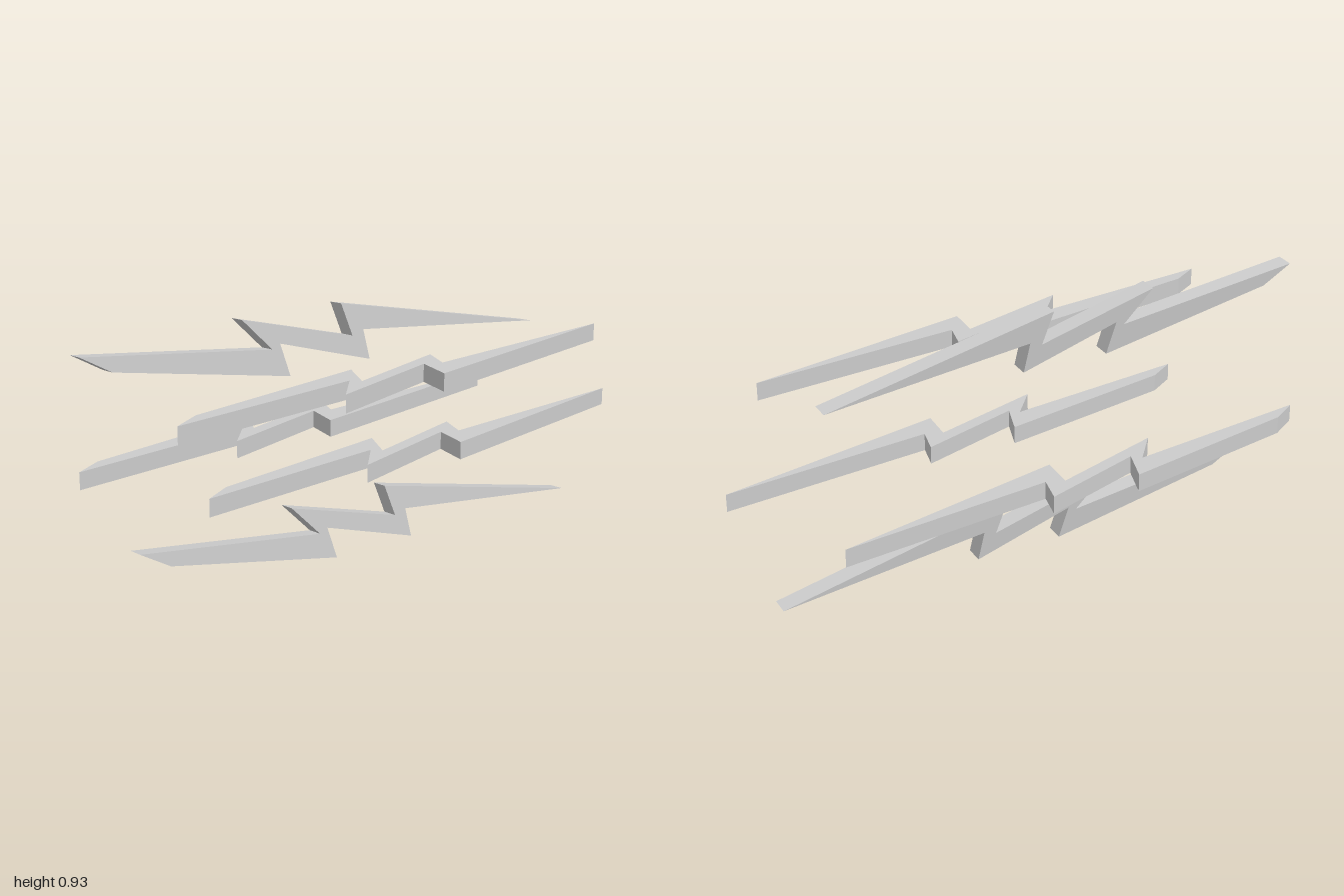
import * as THREE from 'three';

const THICKNESS = 0.064;

// Zigzag outline of the bolts that lie flat: [x, z]
const FLAT = [
  [-0.697, 0.68], [-0.405, 0.03], [-0.355, 0.18], [-0.25, -0.25], [-0.147, -0.17], [0.138, -0.995],
  [-0.197, -0.29], [-0.272, -0.37], [-0.365, 0.02], [-0.45, -0.09], [-0.697, 0.56],
];

// Zigzag outline of the bolts that stand on edge: [along, up]
const UPRIGHT = [
  [-0.902, 0.207], [-0.79, 0.14], [-0.115, 0.012], [-0.148, 0.13], [0.222, 0.016], [0.202, 0.125],
  [0.975, 0.038], [0.114, 0.229], [0.154, 0.11], [-0.293, 0.233], [-0.181, 0.115],
];

function extrude(points) {
  const shape = new THREE.Shape(points.map(([a, b]) => new THREE.Vector2(a, b)));
  return new THREE.ExtrudeGeometry(shape, { depth: THICKNESS, bevelEnabled: false });
}

export function createModel() {
  const group = new THREE.Group();
  const material = new THREE.MeshStandardMaterial({ color: 0xcccccc, flatShading: true });

  const add = (name, geometry, position) => {
    const mesh = new THREE.Mesh(geometry, material);
    mesh.name = name;
    mesh.position.set(...position);
    group.add(mesh);
  };

  // Three bolts lying flat
  const flat = extrude(FLAT.map(([x, z]) => [x, -z])).rotateX(-Math.PI / 2);
  add('flatBoltRight', flat, [0, 0.365, 0]);
  add('flatBoltLeft', flat, [0.537, 0.38, 0.093]);
  add('flatBoltUpper', flat, [0.552, 0.693, 0.317]);

  // Two bolts on edge, running diagonally and leaning slightly
  const along = new THREE.Vector3(0.511, 0, -0.86).normalize();
  const normal = new THREE.Vector3(0.856, 0.1, 0.509).normalize();
  const up = new THREE.Vector3().crossVectors(normal, along).normalize();
  const upright = extrude(UPRIGHT)
    .translate(0, 0, -THICKNESS)
    .applyMatrix4(new THREE.Matrix4().makeBasis(along, up, normal));
  add('uprightBoltLower', upright, [0.053, 0, 0]);
  add('uprightBoltUpper', upright, [-0.057, 0.7, 0.14]);

  return group;
}
